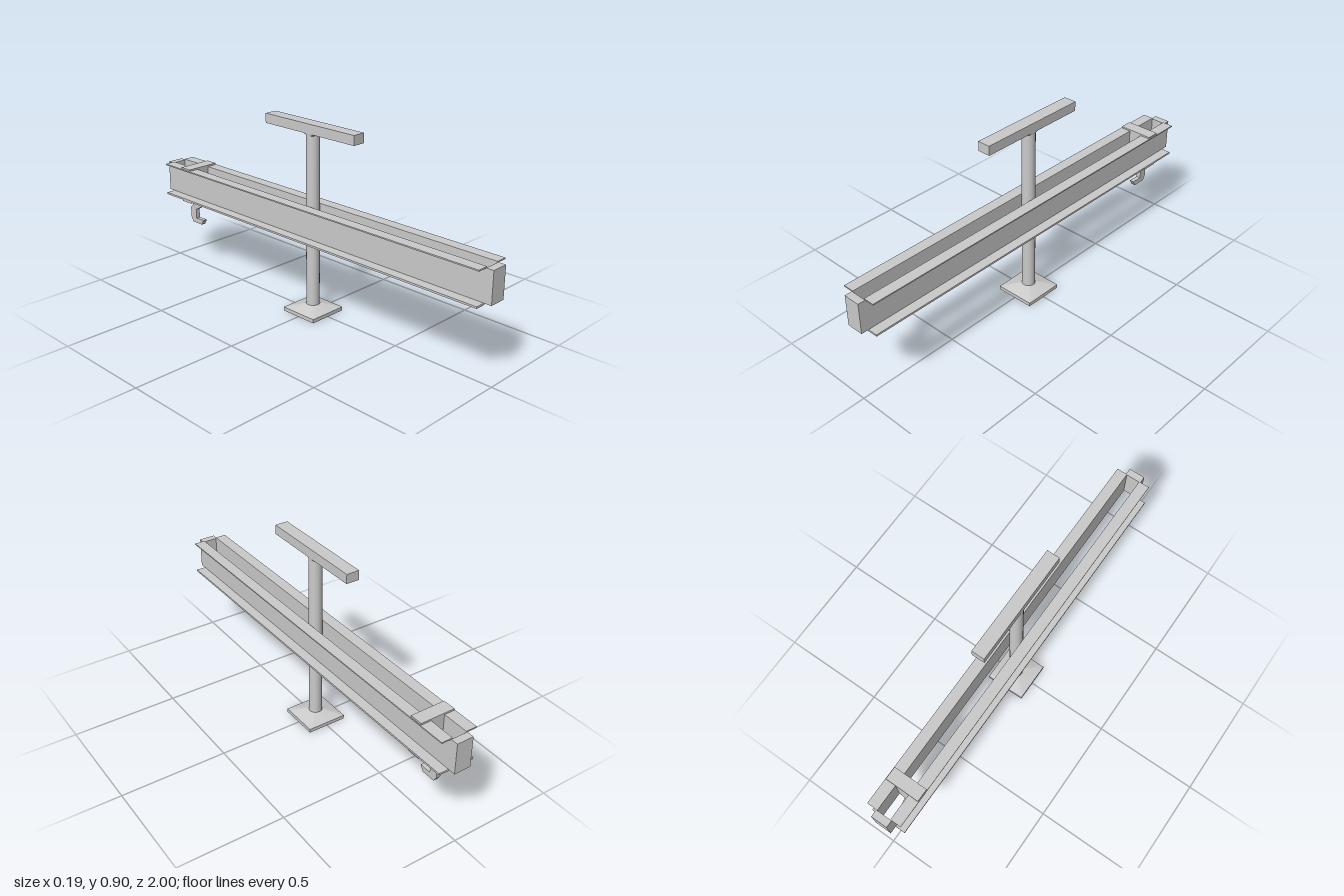
import * as THREE from 'three';

const material = new THREE.MeshStandardMaterial({ color: 0xcccccc, side: THREE.DoubleSide });
const flatMaterial = new THREE.MeshStandardMaterial({ color: 0xcccccc, side: THREE.DoubleSide, flatShading: true });

function add(parent, name, geometry, mat = material) {
  const mesh = new THREE.Mesh(geometry, mat);
  mesh.name = name;
  parent.add(mesh);
  return mesh;
}

// Box given by its limits on each axis
function box(parent, name, [x0, x1], [y0, y1], [z0, z1]) {
  const mesh = add(parent, name, new THREE.BoxGeometry(x1 - x0, y1 - y0, z1 - z0));
  mesh.position.set((x0 + x1) / 2, (y0 + y1) / 2, (z0 + z1) / 2);
  return mesh;
}

// Skin that blends a square outline into a round one
function squareToRound(half, squareY, radius, roundY) {
  const geometry = new THREE.CylinderGeometry(1, 1, 1, 32, 1, true);
  const p = geometry.attributes.position;
  const up = roundY > squareY;
  for (let i = 0; i < p.count; i++) {
    const x = p.getX(i), z = p.getZ(i);
    const round = (p.getY(i) > 0) === up;
    const s = round ? radius : half / Math.max(Math.abs(x), Math.abs(z));
    p.setXYZ(i, x * s, round ? roundY : squareY, z * s);
  }
  geometry.computeVertexNormals();
  return geometry;
}

function extrude(points, depth) {
  const shape = new THREE.Shape(points.map(([x, y]) => new THREE.Vector2(x, y)));
  return new THREE.ExtrudeGeometry(shape, { depth, bevelEnabled: false });
}

export function createModel() {
  const model = new THREE.Group();
  model.name = 'beamOnPost';

  // Post with square foot and top bar
  const post = new THREE.Group();
  post.name = 'post';
  model.add(post);
  box(post, 'footPlate', [-0.096, 0.096], [0, 0.018], [-0.096, 0.096]);
  add(post, 'footSlope', squareToRound(0.096, 0.018, 0.032, 0.04));
  add(post, 'pole', new THREE.CylinderGeometry(0.031, 0.031, 0.82, 32)).position.y = 0.445;
  add(post, 'poleCollar', squareToRound(0.031, 0.856, 0.031, 0.846));
  box(post, 'topBar', [-0.031, 0.031], [0.855, 0.9], [-0.27, 0.27]);

  // Hollow beam made of two flanged channels closed by end blocks
  const beam = new THREE.Group();
  beam.name = 'beam';
  model.add(beam);
  for (const s of [-1, 1]) {
    const side = (a, b) => (s > 0 ? [a, b] : [-b, -a]);
    const label = s > 0 ? 'left' : 'right';
    box(beam, label + 'Web', side(0.034, 0.04), [0.37, 0.518], [-1, 1]);
    box(beam, label + 'UpperFlange', side(0.034, 0.087), [0.517, 0.523], [-0.965, 0.965]);
    box(beam, label + 'LowerFlange', side(0.034, 0.087), [0.362, 0.371], [-0.965, 0.965]);
    box(beam, s > 0 ? 'frontEnd' : 'backEnd', [-0.04, 0.04], [0.37, 0.518], side(0.965, 1));
  }

  // Slider that rides in the slot near the back and carries the hook
  const slider = new THREE.Group();
  slider.name = 'slider';
  model.add(slider);
  box(slider, 'sliderCap', [-0.084, 0.084], [0.523, 0.531], [-0.84, -0.778]);
  box(slider, 'sliderCore', [-0.033, 0.033], [0.36, 0.525], [-0.84, -0.778]);
  const hangerProfile = [
    [-0.084, 0.362], [-0.084, 0.355], [-0.034, 0.355], [-0.012, 0.328],
    [0.012, 0.328], [0.034, 0.355], [0.084, 0.355], [0.084, 0.362],
  ];
  add(slider, 'hanger', extrude(hangerProfile, 0.062), flatMaterial).position.z = -0.84;

  // Hook outline as (distance towards the back, height)
  const hookProfile = [
    [0.785, 0.33], [0.84, 0.33], [0.872, 0.295], [0.872, 0.245], [0.857, 0.22],
    [0.79, 0.22], [0.775, 0.247], [0.831, 0.245], [0.831, 0.292], [0.785, 0.317],
  ];
  const hook = add(slider, 'hook', extrude(hookProfile, 0.022), flatMaterial);
  hook.rotation.y = Math.PI / 2;
  hook.position.x = -0.011;

  return model;
}
